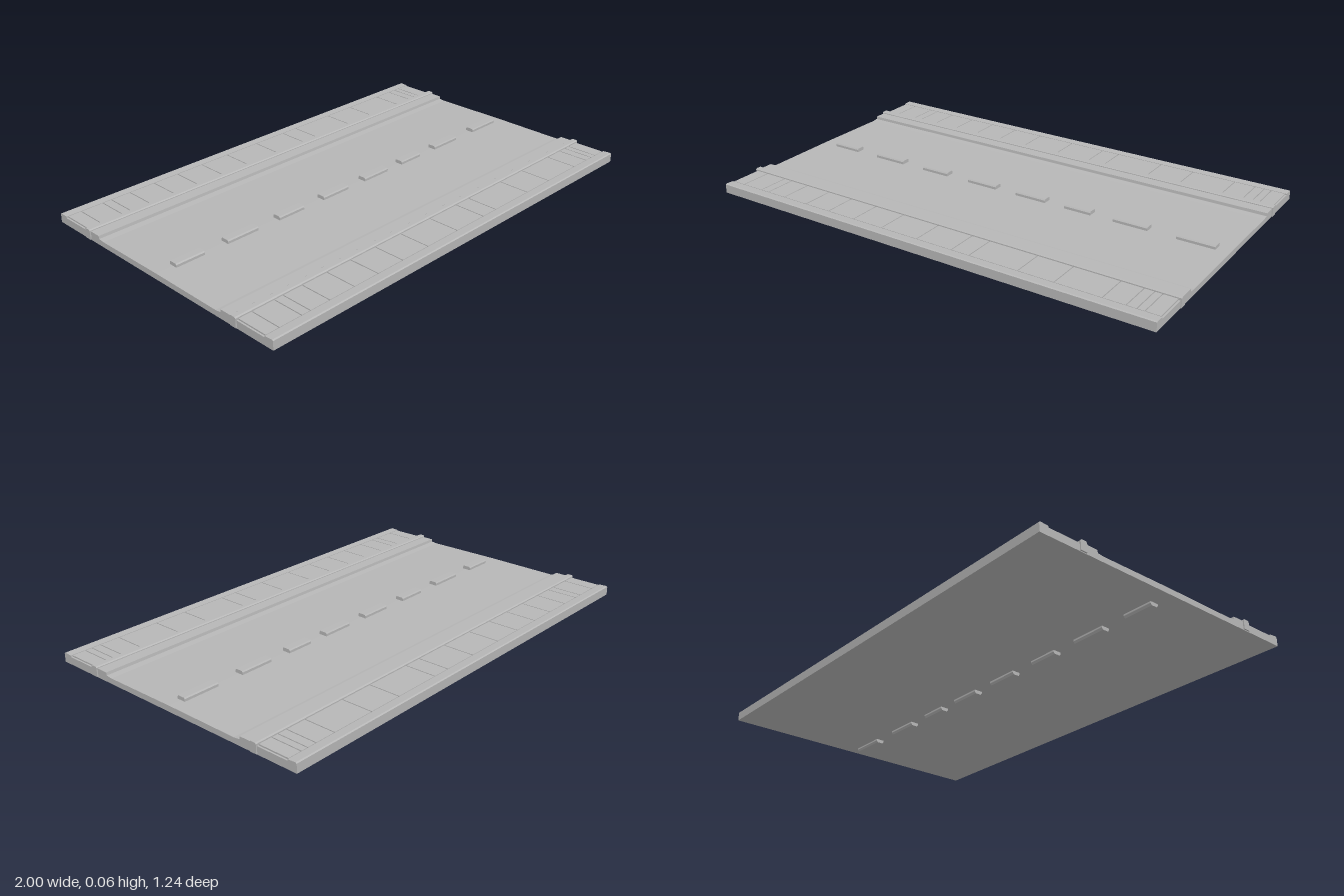
import * as THREE from 'three';

export function createModel() {
  const model = new THREE.Group();
  const concrete = new THREE.MeshStandardMaterial({ color: 0xb6b6b6 });
  concrete.name = 'grey concrete';

  const add = (name, geometry, parent = model) => {
    const mesh = new THREE.Mesh(geometry, concrete);
    mesh.name = name;
    parent.add(mesh);
    return mesh;
  };

  // Extrudes a (z, y) cross-section along x
  const extrudeAlongX = (points, length) => {
    const shape = new THREE.Shape(points.map(([z, y]) => new THREE.Vector2(z, y)));
    const geometry = new THREE.ExtrudeGeometry(shape, { depth: length, bevelEnabled: false });
    return geometry.translate(0, 0, -length / 2).rotateY(Math.PI / 2);
  };

  // Road bed with gutters, paving beds and outer edging
  const half = [
    [0.33, 0.038], [0.357, 0.041], [0.359, 0.053], [0.408, 0.053],
    [0.44, 0.053], [0.44, 0.047], [0.58, 0.047], [0.58, 0.053],
    [0.615, 0.055], [0.62, 0.052], [0.62, 0.015],
  ];
  const mirrored = half.map(([z, y]) => [-z, y]).reverse();
  add('roadBed', extrudeAlongX([...mirrored, [0, 0.04], ...half], 1.99));

  // Joint positions between the paving slabs
  const joints = [-0.99, -0.93, -0.83, -0.79, -0.7, -0.58, -0.46, -0.33, -0.19, -0.02,
    0.14, 0.22, 0.43, 0.58, 0.77, 0.86, 0.9, 0.93, 0.99];
  const gap = 0.004;

  for (const side of [-1, 1]) {
    const sidewalk = new THREE.Group();
    sidewalk.name = side > 0 ? 'frontSidewalk' : 'backSidewalk';
    model.add(sidewalk);

    // Raised kerb with chamfered top
    const kerb = extrudeAlongX([
      [-0.015, 0.018], [0.015, 0.018], [0.015, 0.056], [0.01, 0.06], [-0.01, 0.06], [-0.015, 0.056],
    ], 2);
    add('kerb', kerb.translate(0, 0, side * 0.426), sidewalk);

    // Paving slabs, separated by narrow joints
    for (let i = 0; i < joints.length - 1; i++) {
      const width = joints[i + 1] - joints[i] - gap;
      const slab = new THREE.BoxGeometry(width, 0.007, 0.134);
      slab.translate((joints[i] + joints[i + 1]) / 2, 0.0492, side * 0.51);
      add('pavingSlab', slab, sidewalk);
    }
  }

  // Centre line dashes, let through the road
  const dashes = [[-0.92, -0.79], [-0.68, -0.53], [-0.42, -0.29], [-0.18, -0.04],
    [0.06, 0.2], [0.29, 0.41], [0.51, 0.66], [0.78, 0.94]];
  const dashProfile = [
    [-0.013, 0], [0.013, 0], [0.019, 0.008], [0.019, 0.05],
    [0.015, 0.055], [-0.015, 0.055], [-0.019, 0.05], [-0.019, 0.008],
  ];
  for (const [start, end] of dashes) {
    const dash = add('centreDash', extrudeAlongX(dashProfile, end - start));
    dash.position.x = (start + end) / 2;
  }

  return model;
}
